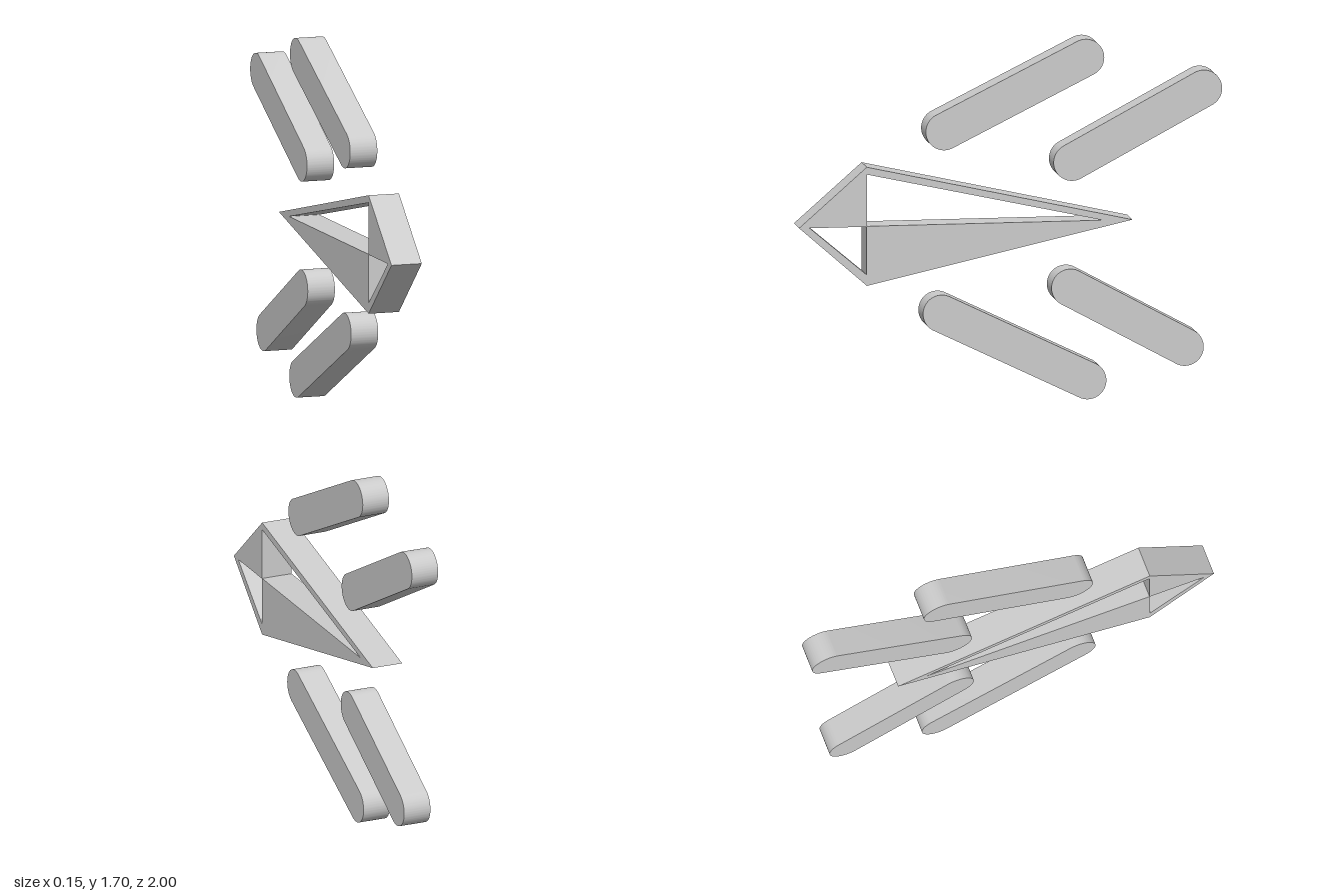
import * as THREE from 'three';
import { toCreasedNormals } from 'three/addons/utils/BufferGeometryUtils.js';

const material = new THREE.MeshStandardMaterial({ color: 0xcccccc });

// Extrudes a side profile drawn in (z, y) to a plate centred on x = 0
function plate(name, shape, thickness) {
  const geo = new THREE.ExtrudeGeometry(shape, { depth: thickness, bevelEnabled: false, curveSegments: 24 });
  geo.translate(0, 0, -thickness / 2);
  geo.rotateY(-Math.PI / 2);
  const mesh = new THREE.Mesh(toCreasedNormals(geo, 0.5), material);
  mesh.name = name;
  return mesh;
}

const polygon = (points) => points.map(([z, y]) => new THREE.Vector2(z, y));

// Rounded bar outline between two end centres
function barShape([z0, y0], [z1, y1], r) {
  const a = Math.atan2(y1 - y0, z1 - z0);
  const shape = new THREE.Shape();
  shape.absarc(z1, y1, r, a - Math.PI / 2, a + Math.PI / 2, false);
  shape.absarc(z0, y0, r, a + Math.PI / 2, a + Math.PI * 1.5, false);
  shape.closePath();
  return shape;
}

export function createModel() {
  const group = new THREE.Group();
  group.name = 'kiteEmblem';

  // Kite-shaped body with two opposite triangular windows
  const kite = new THREE.Shape(polygon([[1, 0.845], [0.68, 0.565], [-0.575, 0.845], [0.68, 1.125]]));
  kite.holes.push(
    new THREE.Path(polygon([[0.679, 0.846], [0.679, 1.09], [-0.435, 0.846]])),
    new THREE.Path(polygon([[0.681, 0.844], [0.681, 0.617], [0.95, 0.844]]))
  );
  group.add(plate('kiteBody', kite, 0.15));

  // Slanted rounded bars above and below the body
  const bars = [
    ['upperFrontBar', [0.312, 1.282], [-0.355, 1.613]],
    ['upperRearBar', [-0.292, 1.122], [-0.912, 1.453]],
    ['lowerFrontBar', [0.325, 0.423], [-0.365, 0.089]],
    ['lowerRearBar', [-0.282, 0.53], [-0.825, 0.235]],
  ];
  for (const [name, front, rear] of bars) {
    group.add(plate(name, barShape(front, rear, 0.088), 0.134));
  }
  return group;
}
